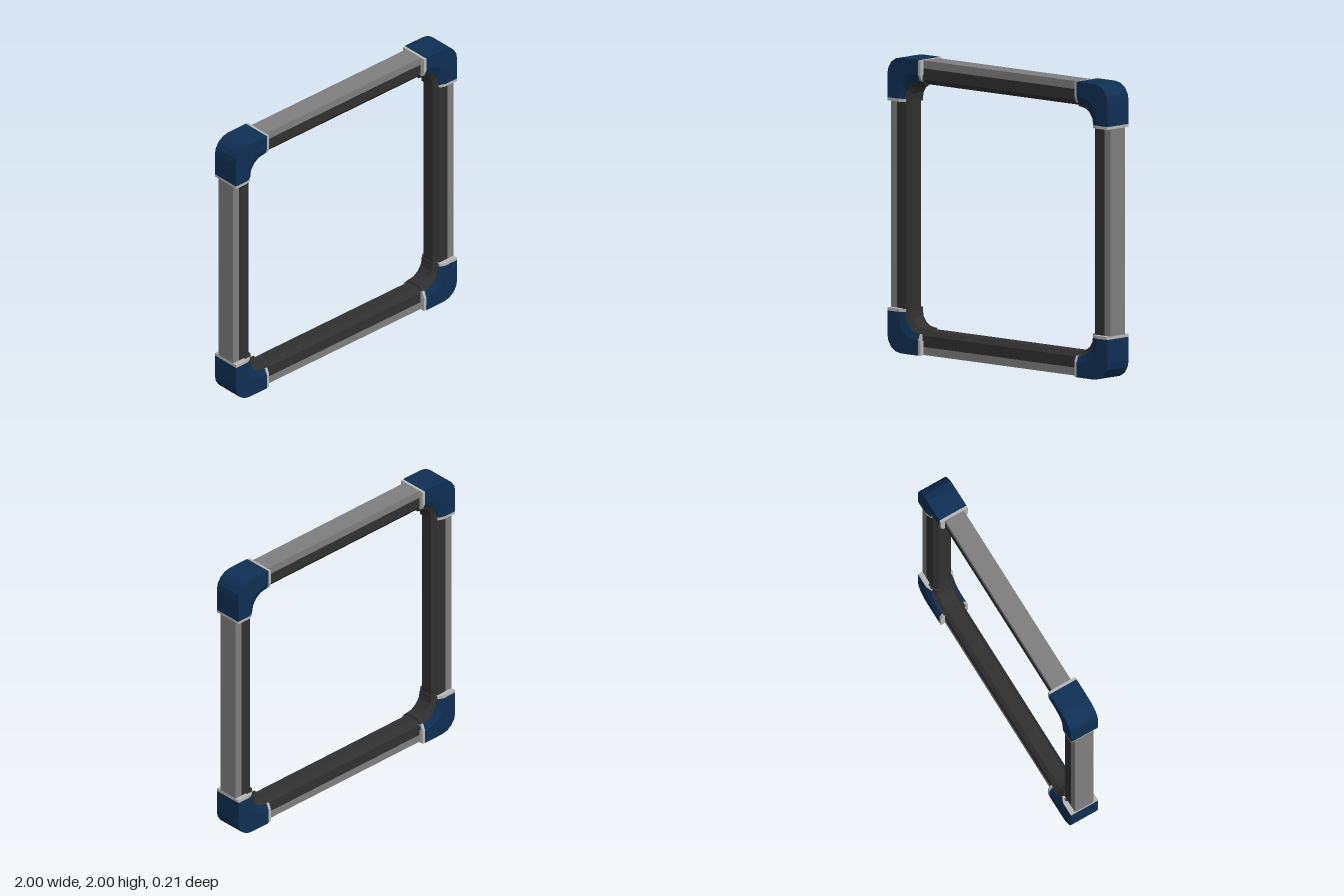
import * as THREE from 'three';

const material = (name, color) => {
  const m = new THREE.MeshStandardMaterial({ color });
  m.name = name;
  return m;
};

// Sweeps a convex section along stations of [outerPoint, innerPoint].
// The section lists [t, z]: t runs from the outer point (0) to the inner one (1).
function sweep(stations, halfSection) {
  const section = [...halfSection, ...halfSection.map(([t, z]) => [t, -z]).reverse()];
  const n = section.length;
  const rings = stations.map(([o, i]) => section.map(([t, z]) =>
    [o[0] + (i[0] - o[0]) * t, o[1] + (i[1] - o[1]) * t, z]));
  const pos = [];
  const tri = (a, b, c) => pos.push(...a, ...b, ...c);
  for (let k = 0; k + 1 < rings.length; k++) {
    for (let i = 0; i < n; i++) {
      const j = (i + 1) % n;
      tri(rings[k][i], rings[k][j], rings[k + 1][j]);
      tri(rings[k][i], rings[k + 1][j], rings[k + 1][i]);
    }
  }
  const first = rings[0], last = rings[rings.length - 1];
  for (let i = 1; i + 1 < n; i++) {
    tri(first[0], first[i + 1], first[i]);
    tri(last[0], last[i], last[i + 1]);
  }
  const g = new THREE.BufferGeometry();
  g.setAttribute('position', new THREE.Float32BufferAttribute(pos, 3));
  g.computeVertexNormals();
  return g;
}

// Straight run along x between two heights
const straight = (x0, x1, outer, inner) => [x0, x1].map(x => [[x, outer], [x, inner]]);

// Rounded corner line: straight end, quarter arc about (c, c), straight end
function cornerLine(end, edge, c, steps = 4) {
  const pts = [[end, edge]];
  for (let k = 0; k <= steps; k++) {
    const a = (k / steps) * Math.PI / 2;
    pts.push([c + (edge - c) * Math.sin(a), c + (edge - c) * Math.cos(a)]);
  }
  pts.push([edge, end]);
  return pts;
}

const bend = (end, outer, outerC, inner, innerC) => {
  const a = cornerLine(end, outer, outerC), b = cornerLine(end, inner, innerC);
  return a.map((p, k) => [p, b[k]]);
};

export function createModel() {
  const grey = material('barGrey', 0x7f7f7f);
  const dark = material('innerDark', 0x303030);
  const blue = material('cornerBlue', 0x0f2f54);
  const light = material('collarLight', 0xb8b8b8);

  // Section shared by the corner covers and their collars
  const coverSection = [[0, 0.105], [0.72, 0.105], [1, 0.088]];
  const collar = sweep(straight(0.7, 0.721, 0.998, 0.856), coverSection);
  const parts = [
    ['outerRail', grey, sweep(straight(-0.71, 0.71, 0.996, 0.942), [[0, 0.072], [1, 0.072]])],
    ['innerRail', dark, sweep(straight(-0.71, 0.71, 0.942, 0.834), [[0, 0.072], [0.7, 0.072], [1, 0.045]])],
    ['cornerCover', blue, sweep(bend(0.72, 1, 0.88, 0.857, 0.73), coverSection)],
    ['cornerElbow', dark, sweep(bend(0.7, 0.9, 0.76, 0.825, 0.715), [[0, 0.085], [0.5, 0.085], [1, 0.055]])],
    ['collar', light, collar],
  ];

  // One side with its corner, repeated around the square
  const model = new THREE.Group();
  model.name = 'squareFrame';
  ['top', 'left', 'bottom', 'right'].forEach((label, k) => {
    const side = new THREE.Group();
    side.name = label + 'Side';
    for (const [name, mat, geometry] of parts) {
      const mesh = new THREE.Mesh(geometry, mat);
      mesh.name = name;
      side.add(mesh);
    }
    // Collar at the other end of the bar
    const far = new THREE.Mesh(collar, light);
    far.name = 'farCollar';
    far.rotation.y = Math.PI;
    side.add(far);
    side.rotation.z = -k * Math.PI / 2;
    side.position.y = 1;
    model.add(side);
  });
  return model;
}
